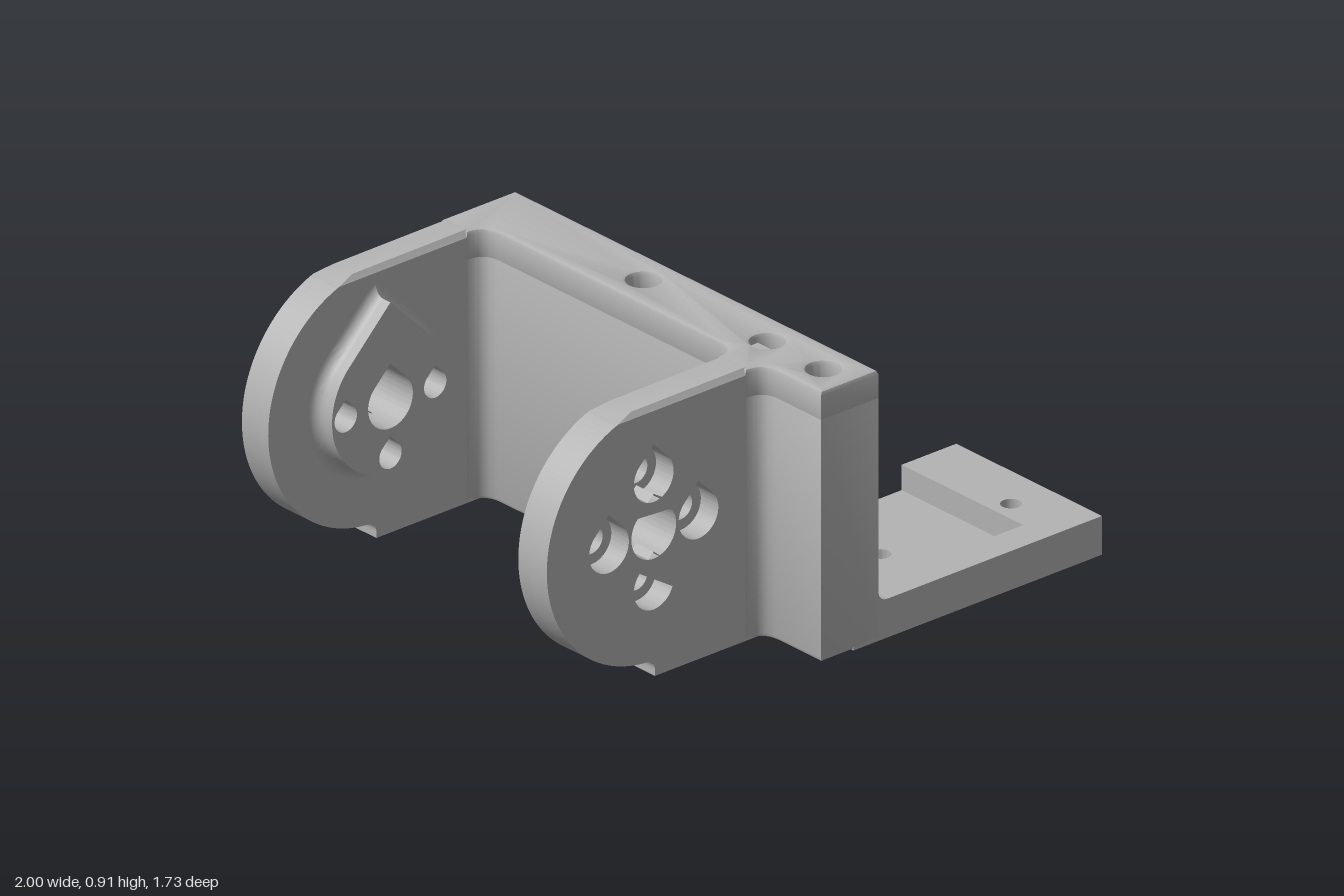
import * as THREE from 'three';
import { toCreasedNormals } from 'three/addons/utils/BufferGeometryUtils.js';
import { ParametricGeometry } from 'three/addons/geometries/ParametricGeometry.js';

const PIVOT_X = -0.57, PIVOT_Y = 0.485, ARM_R = 0.43;
const WALL_X0 = -0.13, WALL_X1 = 0.1, BACK = -0.79, FRONT = 0.865;

export function createModel() {
  const group = new THREE.Group();
  const grey = new THREE.MeshStandardMaterial({ color: 0xb3b3b3, side: THREE.DoubleSide });
  grey.name = 'light grey';

  function add(name, geometry) {
    const mesh = new THREE.Mesh(toCreasedNormals(geometry, 0.5), grey);
    mesh.name = name;
    group.add(mesh);
    return mesh;
  }

  // Upright layer: an xy outline between two depths
  function layer(shape, za, zb) {
    const z0 = Math.min(za, zb);
    const g = new THREE.ExtrudeGeometry(shape, { depth: Math.abs(zb - za), bevelEnabled: false, curveSegments: 32 });
    return g.translate(0, 0, z0);
  }

  // Flat slab: a plan drawn as (x, -z) between two heights, with optional chamfer
  function slab(shape, y0, y1, bevel = 0) {
    const g = new THREE.ExtrudeGeometry(shape, {
      depth: y1 - y0 - 2 * bevel, bevelEnabled: bevel > 0, bevelThickness: bevel,
      bevelSize: bevel, bevelOffset: -bevel, bevelSegments: 2, curveSegments: 16,
    });
    return g.rotateX(-Math.PI / 2).translate(0, y0 + bevel, 0);
  }

  function circle(x, y, r) {
    return new THREE.Shape().absarc(x, y, r, 0, Math.PI * 2);
  }

  // Circle with a 45 degree point on top
  function teardrop(x, y, r) {
    const s = new THREE.Shape();
    s.absarc(x, y, r, Math.PI * 0.75, Math.PI * 2.25, false);
    s.lineTo(x, y + r * Math.SQRT2);
    s.closePath();
    return s;
  }

  // Concave fillet around the foot of a teardrop boss; dir is the boss direction
  function skirt(x, y, r, f, z, dir) {
    return new ParametricGeometry((u, v, target) => {
      const a = u * Math.PI * 2, b = v * Math.PI / 2;
      const off = Math.abs(a - Math.PI / 2);
      const k = off < Math.PI / 4 ? 1 / Math.cos(Math.PI / 4 - off) : 1;
      const d = (r + f * (1 - Math.sin(b))) * k;
      target.set(x + d * Math.cos(a), y + d * Math.sin(a), z + dir * f * (1 - Math.cos(b)));
    }, 64, 6);
  }

  // Centre bore and four screw holes around the pivot
  function pivotHoles(screwR) {
    const holes = [teardrop(PIVOT_X, PIVOT_Y, 0.09)];
    for (const [dx, dy] of [[0.18, 0], [-0.18, 0], [0, 0.18], [0, -0.18]]) {
      holes.push(teardrop(PIVOT_X + dx, PIVOT_Y + dy, screwR));
    }
    return holes;
  }

  function armShape(screwR) {
    const s = new THREE.Shape();
    s.moveTo(-0.05, 0);
    s.lineTo(-0.565, 0);
    s.lineTo(-0.565, 0.02);
    s.quadraticCurveTo(-0.565, 0.05, -0.6, 0.056);
    s.absarc(PIVOT_X, PIVOT_Y, ARM_R, Math.PI * 1.478, Math.PI * 0.609, true);
    s.lineTo(-0.05, 0.89);
    s.closePath();
    s.holes = pivotHoles(screwR);
    return s;
  }

  // Arms: counterbored outer layer, inner layer, chamfered top edge and inner boss
  const arms = [
    { name: 'frontArm', outer: 0.6, inner: 0.47, boss: 0.36, dir: -1 },
    { name: 'backArm', outer: BACK, inner: -0.67, boss: -0.6, dir: 1 },
  ];
  for (const { name, outer, inner, boss, dir } of arms) {
    const ledge = outer + dir * 0.08;
    add(name + 'Outer', layer(armShape(0.08), outer, ledge));
    add(name + 'Inner', layer(armShape(0.045), ledge, inner));

    const edge = new THREE.Shape([[-0.714, 0.89], [-0.65, 0.907], [-0.05, 0.91], [-0.05, 0.89]]
      .map(([x, y]) => new THREE.Vector2(x, y)));
    const g = layer(edge, outer, inner);
    const mid = (outer + inner) / 2, p = g.attributes.position;
    for (let i = 0; i < p.count; i++) {
      if (p.getY(i) > 0.9) p.setZ(i, p.getZ(i) - Math.sign(p.getZ(i) - mid) * 0.015);
    }
    g.computeVertexNormals();
    add(name + 'TopEdge', g);

    const bossShape = teardrop(PIVOT_X, PIVOT_Y, 0.235);
    bossShape.holes = pivotHoles(0.045);
    add(name + 'Boss', layer(bossShape, inner, boss));
    add(name + 'BossFillet', skirt(PIVOT_X, PIVOT_Y, 0.235, 0.035, inner, dir));
  }

  // Wall with rounded corners where the arms join
  function wallShape() {
    const s = new THREE.Shape(), x = WALL_X0, e = -0.2;
    s.moveTo(WALL_X1, -FRONT);
    s.lineTo(WALL_X1, -BACK);
    s.lineTo(e, -BACK);
    s.lineTo(e, 0.67);
    s.quadraticCurveTo(x, 0.67, x, 0.6);
    s.lineTo(x, -0.4);
    s.quadraticCurveTo(x, -0.47, e, -0.47);
    s.lineTo(e, -0.6);
    s.quadraticCurveTo(x, -0.6, x, -0.67);
    s.lineTo(x, -FRONT);
    s.closePath();
    return s;
  }
  add('wall', slab(wallShape(), 0, 0.83, 0.015));
  const wallTop = wallShape();
  wallTop.holes = [-0.075, 0.49, 0.745].map((z) => circle(-0.015, -z, 0.053));
  add('wallTop', slab(wallTop, 0.8, 0.91, 0.015));

  // Base plate: countersunk lower layer, upper layer with an open pocket
  function plateShape(pocket, holeR) {
    const s = new THREE.Shape();
    s.moveTo(0, -FRONT);
    s.lineTo(1, -FRONT);
    s.lineTo(1, -0.2);
    if (pocket) {
      s.lineTo(0.78, -0.2);
      s.lineTo(0.78, -0.755);
      s.lineTo(0.4, -0.755);
      s.lineTo(0.4, -0.2);
    }
    s.lineTo(0.27, -0.2);
    s.quadraticCurveTo(0.2, -0.2, 0.2, -0.13);
    s.lineTo(0.2, 0.38);
    s.lineTo(0.17, 0.38);
    s.quadraticCurveTo(WALL_X1, 0.38, WALL_X1, 0.45);
    s.lineTo(0, 0.45);
    s.closePath();
    s.holes = [0.325, 0.85].map((x) => circle(x, -0.62, holeR));
    return s;
  }
  add('plateBottom', slab(plateShape(false, 0.068), 0, 0.045));
  add('plateTop', slab(plateShape(true, 0.033), 0.045, 0.13));

  // Fillet between wall and plate
  const fillet = new THREE.Shape();
  fillet.moveTo(0.09, 0.12);
  fillet.lineTo(0.14, 0.12);
  fillet.lineTo(0.14, 0.13);
  fillet.quadraticCurveTo(WALL_X1, 0.13, WALL_X1, 0.17);
  fillet.lineTo(0.09, 0.17);
  fillet.closePath();
  add('plateFillet', layer(fillet, -0.4, FRONT));

  // Hollow pegs on the back
  for (const x of [-0.245, -0.015]) {
    const peg = teardrop(x, PIVOT_Y, 0.066);
    peg.holes = [circle(x, PIVOT_Y, 0.024)];
    add('backPeg', layer(peg, BACK, -FRONT));
    add('backPegFillet', skirt(x, PIVOT_Y, 0.066, 0.03, BACK, -1));
  }

  return group;
}
